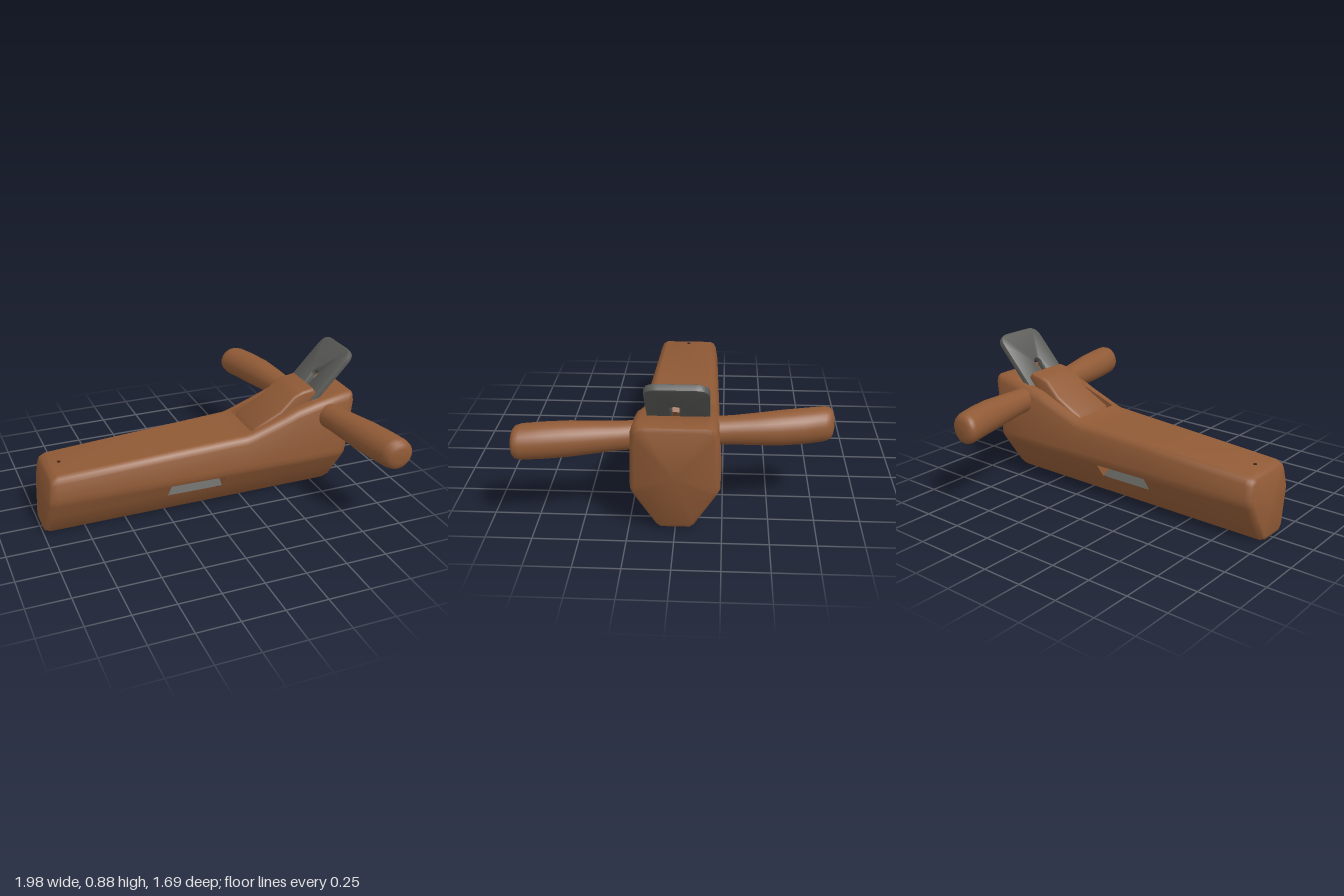
import * as THREE from 'three';
import { toCreasedNormals } from 'three/addons/utils/BufferGeometryUtils.js';

const flat = (name, color) => Object.assign(new THREE.MeshStandardMaterial({ color }), { name });

// Linear lookup in a list of [key, value] pairs
function at(table, k) {
  for (let i = 1; i < table.length; i++) {
    const [k0, v0] = table[i - 1], [k1, v1] = table[i];
    if (k <= k1) return v0 + (v1 - v0) * Math.max(0, (k - k0) / (k1 - k0));
  }
  return table[table.length - 1][1];
}

// Body: sheared loft along x with a pocket on top and a slot through the lower flanks
const TOP = [[-1, 0.4], [0.19, 0.455], [0.23, 0.465], [0.43, 0.54], [0.51, 0.575], [0.625, 0.605], [0.88, 0.65]];
const WIDTH = [[-1, 0.198], [0.6, 0.243], [0.88, 0.238]];
const FLOOR = [[0.23, 0.42], [0.51, 0.42], [0.665, 0.61]];
const INSET = [[-1, 0.15], [-0.99, 0.06], [-0.955, 0], [0.83, 0], [0.867, 0.04], [0.88, 0.11]];
const STATIONS = [-1, -0.99, -0.955, -0.27, 0.08, 0.19, 0.23, 0.23, 0.3, 0.38, 0.43, 0.51, 0.625, 0.665, 0.83, 0.867, 0.88];
const SLOT = 3, SLOT_LOW = 2, POCKET_START = 7, POCKET_END = 13;

function ring(s, i) {
  const T = at(TOP, s), w = at(WIDTH, s), k = 1 - at(INSET, s);
  const p = Math.min(0.155, w - 0.055);
  const F = i >= POCKET_START && i <= POCKET_END ? Math.min(T, at(FLOOR, s)) : T;
  const flank = y => 0.105 + (w - 0.105) * (y - 0.02) / 0.22;
  const half = [
    [0.08, 0], [0.105, 0.02], [flank(0.14), 0.14], [flank(0.22), 0.22],
    [w, 0.245], [w, 0.275], [w - 0.012, T - 0.045], [w - 0.025, T - 0.015], [w - 0.05, T],
    [p, T], [p, F],
  ];
  const loop = [...half, ...half.map(([z, y]) => [-z, y]).reverse()];
  return loop.map(([z, y]) => {
    const yy = T / 2 + (y - T / 2) * k;
    return [s + 0.125 * yy, yy, z * k];
  });
}

function bodyGeometry() {
  const rings = STATIONS.map(ring), n = rings[0].length, pos = [];
  const tri = (...c) => c.forEach(v => pos.push(...v));
  const quad = (a, b, c, d) => { tri(a, b, c); tri(a, c, d); };
  for (let i = 0; i < rings.length - 1; i++) {
    for (let j = 0; j < n; j++) {
      const m = (j + 1) % n;
      if (i === SLOT && (j === SLOT_LOW || j === n - 2 - SLOT_LOW)) continue;
      quad(rings[i][j], rings[i + 1][j], rings[i + 1][m], rings[i][m]);
    }
  }
  // End caps
  for (const [r, right] of [[rings[0], false], [rings[rings.length - 1], true]]) {
    const y = (r[0][1] + r[10][1]) / 2, c = [(r[0][0] + r[10][0]) / 2, y, 0];
    for (let j = 0; j < n; j++) {
      const a = r[j], b = r[(j + 1) % n];
      right ? tri(c, b, a) : tri(c, a, b);
    }
  }
  // Slot lining: ceiling and two end walls
  const corners = r => [r[SLOT_LOW], r[SLOT_LOW + 1], r[n - 2 - SLOT_LOW], r[n - 1 - SLOT_LOW]];
  const [L1, U1, V1, M1] = corners(rings[SLOT]);
  const [L2, U2, V2, M2] = corners(rings[SLOT + 1]);
  quad(V1, V2, U2, U1);
  quad(L1, M1, V1, U1);
  quad(U2, V2, M2, L2);
  const g = new THREE.BufferGeometry();
  g.setAttribute('position', new THREE.Float32BufferAttribute(pos, 3));
  return toCreasedNormals(g, 0.85);
}

// Handle: lathe turned onto z, then bent sideways
function handleGeometry(side) {
  const profile = [[0.18, 0.076], [0.3, 0.078], [0.42, 0.086], [0.55, 0.095], [0.68, 0.097], [0.79, 0.095],
    [0.82, 0.087], [0.835, 0.07], [0.842, 0.045], [0.844, 0]].map(([t, r]) => new THREE.Vector2(r, side * t));
  if (side < 0) profile.reverse();
  const g = new THREE.LatheGeometry(profile, 28).rotateX(Math.PI / 2);
  const p = g.attributes.position;
  for (let i = 0; i < p.count; i++) {
    const z = p.getZ(i), t = Math.abs(z) / 0.84;
    const bulge = z < 0 ? 0.04 * t * Math.sin(Math.PI * t) : 0;
    p.setX(i, p.getX(i) + 0.74 + 0.185 * z + bulge);
    p.setY(i, p.getY(i) + 0.515);
  }
  g.computeVertexNormals();
  return g;
}

// Wedge: side outline extruded across the pocket
function wedgeGeometry() {
  const outline = [[0.31, 0.4], [0.335, 0.455], [0.5, 0.54], [0.585, 0.625], [0.64, 0.645], [0.7, 0.655], [0.72, 0.63], [0.62, 0.5], [0.55, 0.42]];
  const shape = new THREE.Shape(outline.map(([x, y]) => new THREE.Vector2(x, y)).reverse());
  const g = new THREE.ExtrudeGeometry(shape, {
    depth: 0.24, bevelEnabled: true, bevelSize: 0.015, bevelThickness: 0.022, bevelSegments: 3,
  }).translate(0, 0, -0.12);
  return toCreasedNormals(g, 0.75);
}

// Iron: rounded plate with a keyhole, leaning back
function ironGeometry() {
  const w = 0.162, h = 0.525, r = 0.07;
  const shape = new THREE.Shape();
  shape.moveTo(-w, 0);
  shape.lineTo(w, 0);
  shape.lineTo(w, h - r);
  shape.quadraticCurveTo(w, h, w - r, h);
  shape.lineTo(-w + r, h);
  shape.quadraticCurveTo(-w, h, -w, h - r);
  const key = new THREE.Path();
  key.moveTo(0.035, 0.09);
  key.lineTo(0.035, 0.28);
  key.absarc(0.013, 0.285, 0.034, -0.7, Math.PI + 0.7, false);
  key.lineTo(-0.009, 0.09);
  shape.holes.push(key);
  const g = new THREE.ExtrudeGeometry(shape, {
    depth: 0.024, bevelEnabled: true, bevelSize: 0.005, bevelThickness: 0.007, bevelSegments: 2, curveSegments: 10,
  }).translate(0, 0, -0.012);
  const a = 0.82, along = new THREE.Vector3(Math.cos(a), Math.sin(a), 0), across = new THREE.Vector3(0, 0, 1);
  const m = new THREE.Matrix4().makeBasis(across, along, across.clone().cross(along)).setPosition(0.6, 0.482, -0.013);
  return toCreasedNormals(g.applyMatrix4(m), 0.6);
}

// Ridge of metal filling the floor of the slot
function ridgeGeometry() {
  const shape = new THREE.Shape([[-0.166, 0.137], [0.166, 0.137], [0, 0.216]].map(([z, y]) => new THREE.Vector2(z, y)));
  return new THREE.ExtrudeGeometry(shape, { depth: 0.362, bevelEnabled: false }).rotateY(Math.PI / 2).translate(-0.254, 0, 0);
}

export function createModel() {
  const wood = flat('wood', 0x905a36);
  const iron = flat('iron', 0x5a5a57);
  const dark = flat('dark wood', 0x3a2416);
  const group = new THREE.Group();
  group.name = 'handPlane';
  const add = (name, geometry, material) => {
    const mesh = new THREE.Mesh(geometry, material);
    mesh.name = name;
    group.add(mesh);
    return mesh;
  };
  add('body', bodyGeometry(), wood);
  add('frontHandle', handleGeometry(1), wood);
  add('backHandle', handleGeometry(-1), wood);
  add('wedge', wedgeGeometry(), wood);
  add('iron', ironGeometry(), iron);
  add('slotPlate', ridgeGeometry(), iron);
  add('pinHole', new THREE.CylinderGeometry(0.01, 0.01, 0.006, 10), dark).position.set(-0.86, 0.406, 0);
  return group;
}
